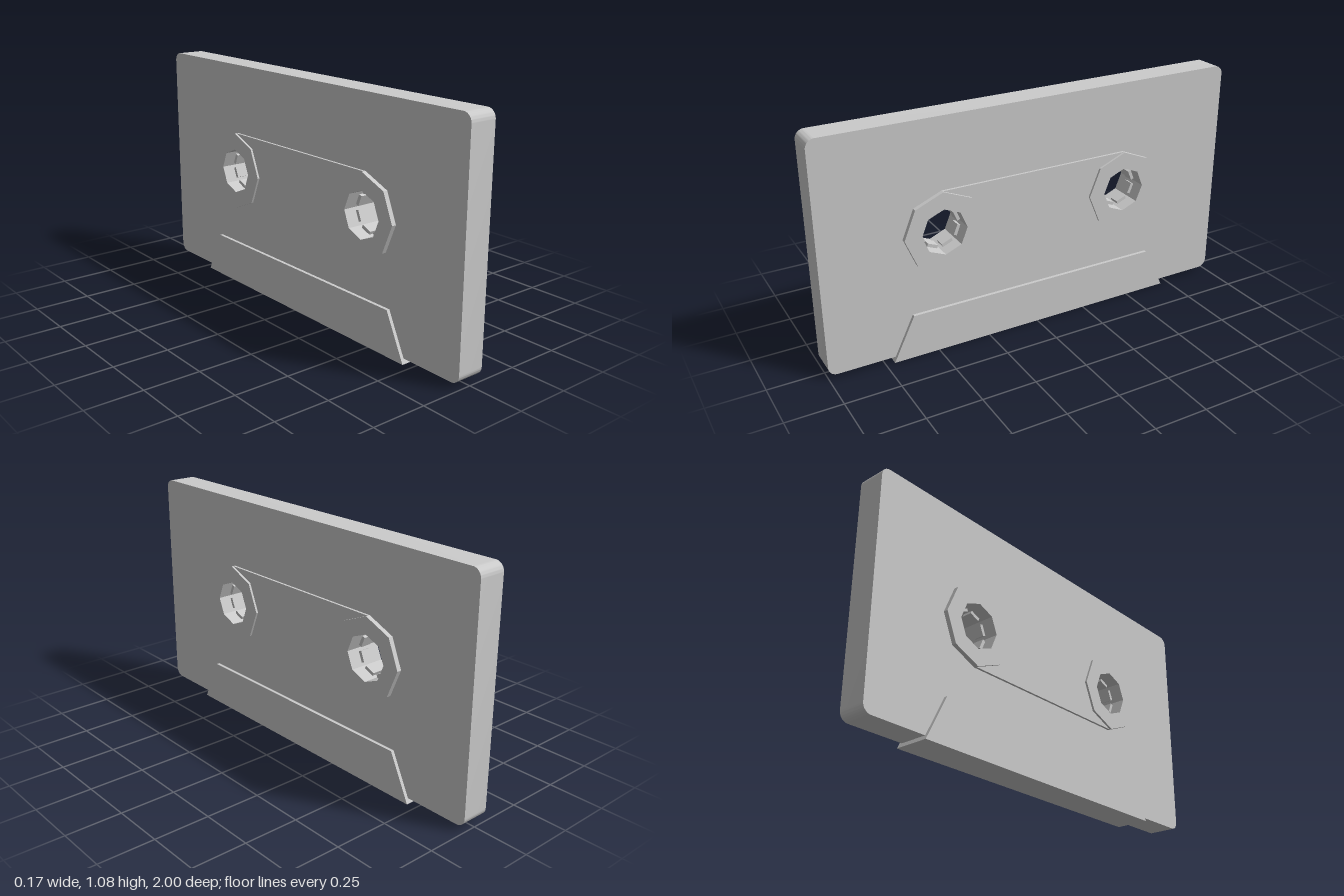
import * as THREE from 'three';
import { toCreasedNormals } from 'three/addons/utils/BufferGeometryUtils.js';

const REEL_Z = 0.452, REEL_Y = 0.57, RING_R = 0.183, HOLE_R = 0.105;

// Corners of an octagon with points on its axes
function octagon(cz, cy, r) {
  return Array.from({ length: 8 }, (_, i) => {
    const a = (i * Math.PI) / 4;
    return new THREE.Vector2(cz + r * Math.cos(a), cy + r * Math.sin(a));
  });
}

const reelHole = (side) => new THREE.Path(octagon(side * REEL_Z, REEL_Y, HOLE_R));

export function createModel() {
  const group = new THREE.Group();
  const material = new THREE.MeshStandardMaterial({ color: 0xcccccc });

  // Extrudes a side outline (z, y) across the thickness, centred on x = 0
  function addPlate(name, shape, halfThickness) {
    let geo = new THREE.ExtrudeGeometry(shape, {
      depth: 2 * halfThickness, bevelEnabled: false, curveSegments: 8,
    });
    geo.translate(0, 0, -halfThickness).rotateY(Math.PI / 2);
    geo = toCreasedNormals(geo, 0.5);
    const mesh = new THREE.Mesh(geo, material);
    mesh.name = name;
    group.add(mesh);
  }

  // Shell with rounded corners and two reel holes
  const y0 = 0.02, y1 = 1.077, r = 0.04;
  const shell = new THREE.Shape();
  shell.moveTo(-1 + r, y0);
  shell.absarc(1 - r, y0 + r, r, -Math.PI / 2, 0);
  shell.absarc(1 - r, y1 - r, r, 0, Math.PI / 2);
  shell.absarc(-1 + r, y1 - r, r, Math.PI / 2, Math.PI);
  shell.absarc(-1 + r, y0 + r, r, Math.PI, Math.PI * 1.5);
  shell.holes.push(reelHole(1), reelHole(-1));
  addPlate('shell', shell, 0.064);

  // Raised window between the reel rings
  const left = octagon(-REEL_Z, REEL_Y, RING_R);
  const right = octagon(REEL_Z, REEL_Y, RING_R);
  addPlate('window', new THREE.Shape([
    left[6], right[6], right[5], right[4], right[3], right[2],
    left[2], left[1], left[0], left[7],
  ]), 0.075);

  // Thicker tape head section along the bottom
  addPlate('headSection', new THREE.Shape([
    new THREE.Vector2(-0.71, 0), new THREE.Vector2(0.71, 0),
    new THREE.Vector2(0.61, 0.205), new THREE.Vector2(-0.61, 0.205),
  ]), 0.079);

  // Reel rings and the teeth inside them
  const apothem = HOLE_R * Math.cos(Math.PI / 8);
  const toothGeo = new THREE.BoxGeometry(0.05, 0.05, 0.03);
  for (const side of [1, -1]) {
    const ring = new THREE.Shape(octagon(side * REEL_Z, REEL_Y, RING_R));
    ring.holes.push(reelHole(side));
    addPlate('reelRing', ring, 0.085);

    const teeth = new THREE.Group();
    teeth.name = 'reelTeeth';
    teeth.position.set(0, REEL_Y, side * REEL_Z);
    for (let i = 0; i < 8; i++) {
      const a = ((i + 0.5) * Math.PI) / 4;
      const tooth = new THREE.Mesh(toothGeo, material);
      tooth.name = 'tooth';
      tooth.position.set(0, Math.sin(a) * apothem, Math.cos(a) * apothem);
      tooth.rotation.x = -a;
      teeth.add(tooth);
    }
    group.add(teeth);
  }
  return group;
}
